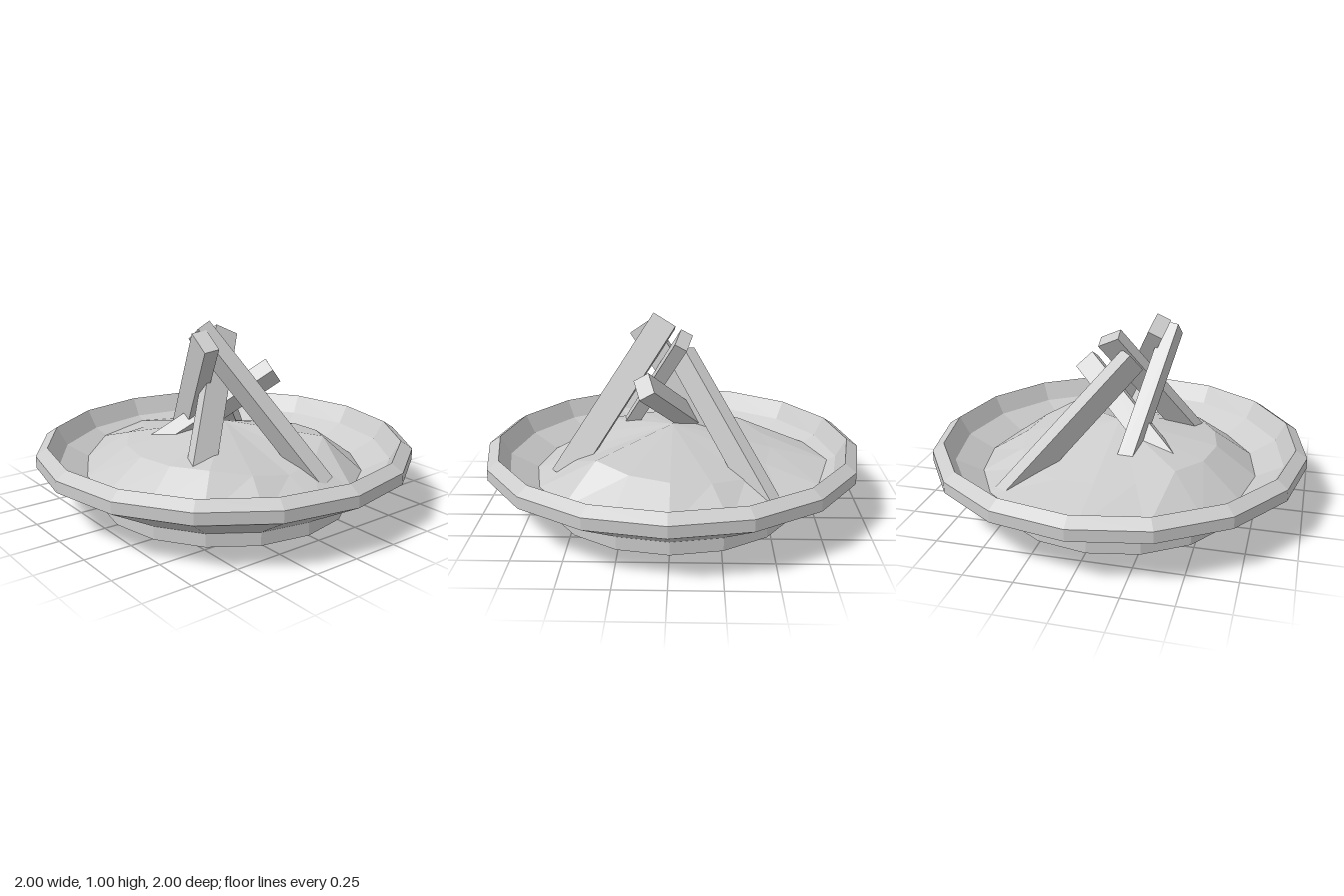
import * as THREE from 'three';

const SIDES = 16;

function material() {
  return new THREE.MeshStandardMaterial({ color: 0xcccccc, flatShading: true, side: THREE.DoubleSide });
}

// Faceted bowl on a foot ring, open underneath
function makeBowl() {
  const profile = [
    [0.68, 0], [0.68, 0.07], [1, 0.25], [1, 0.31],
    [0.94, 0.35], [0.885, 0.25], [0.64, 0.125],
  ].map(([r, y]) => new THREE.Vector2(r, y));
  const bowl = new THREE.Mesh(new THREE.LatheGeometry(profile, SIDES), material());
  bowl.name = 'bowl';
  return bowl;
}

// Low uneven heap: a peak, a shoulder ring and a skirt that dips into the bowl
function makeAshHeap() {
  const shoulder = [
    0.27, 0.3, 0.33, 0.33, 0.33, 0.33, 0.34, 0.31,
    0.3, 0.28, 0.27, 0.29, 0.31, 0.33, 0.36, 0.29,
  ];
  const positions = [0, 0.43, 0];
  const index = [];
  for (let i = 0; i < SIDES; i++) {
    const a = (i / SIDES) * Math.PI * 2;
    const c = Math.cos(a), s = Math.sin(a);
    // the skirt spreads further up the bowl on one side
    const spread = Math.max(0, -c) ** 4;
    const r = 0.75 + 0.1 * spread;
    positions.push(0.53 * c, shoulder[i], 0.53 * s);
    positions.push(r * c, 0.17 + 0.055 * spread, r * s);
    const p = 1 + i * 2, q = 1 + ((i + 1) % SIDES) * 2;
    index.push(0, q, p, p, q, q + 1, p, q + 1, p + 1);
  }
  const geometry = new THREE.BufferGeometry();
  geometry.setAttribute('position', new THREE.Float32BufferAttribute(positions, 3));
  geometry.setIndex(index);
  geometry.computeVertexNormals();
  const heap = new THREE.Mesh(geometry, material());
  heap.name = 'ashHeap';
  return heap;
}

// Squared log between two points; 'wide' hints which way its broad side runs
function makeLog({ top, foot, wide, size }) {
  const a = new THREE.Vector3(...top), b = new THREE.Vector3(...foot);
  const along = a.clone().sub(b);
  const length = along.length();
  along.normalize();
  const across = new THREE.Vector3(...wide);
  across.addScaledVector(along, -across.dot(along)).normalize();
  const depth = new THREE.Vector3().crossVectors(across, along);
  const log = new THREE.Mesh(new THREE.BoxGeometry(size[0], length, size[1]), material());
  log.quaternion.setFromRotationMatrix(new THREE.Matrix4().makeBasis(across, along, depth));
  log.position.copy(a).add(b).multiplyScalar(0.5);
  log.name = 'log';
  return log;
}

export function createModel() {
  const model = new THREE.Group();
  model.name = 'fireBowl';
  model.add(makeBowl(), makeAshHeap());

  // Logs leaning together over the heap, their feet sunk through it
  const logs = new THREE.Group();
  logs.name = 'logs';
  [
    { top: [0.14, 0.7, -0.22], foot: [-0.29, 0.17, 0.46], wide: [0.6, 1, 0], size: [0.12, 0.09] },
    { top: [-0.06, 0.9, -0.04], foot: [0.35, 0.14, 0.45], wide: [0, 0, 1], size: [0.13, 0.07] },
    { top: [-0.05, 0.79, 0.08], foot: [-0.5, 0.13, -0.49], wide: [-0.2, 1, 0], size: [0.13, 0.08] },
    { top: [0.05, 0.95, 0.2], foot: [0.57, 0.19, -0.18], wide: [1, 0.15, 0], size: [0.14, 0.08] },
    { top: [0.175, 0.915, 0.25], foot: [-0.36, 0.14, 0.06], wide: [1, -1, 0], size: [0.14, 0.08] },
  ].forEach((spec) => logs.add(makeLog(spec)));
  model.add(logs);
  return model;
}
